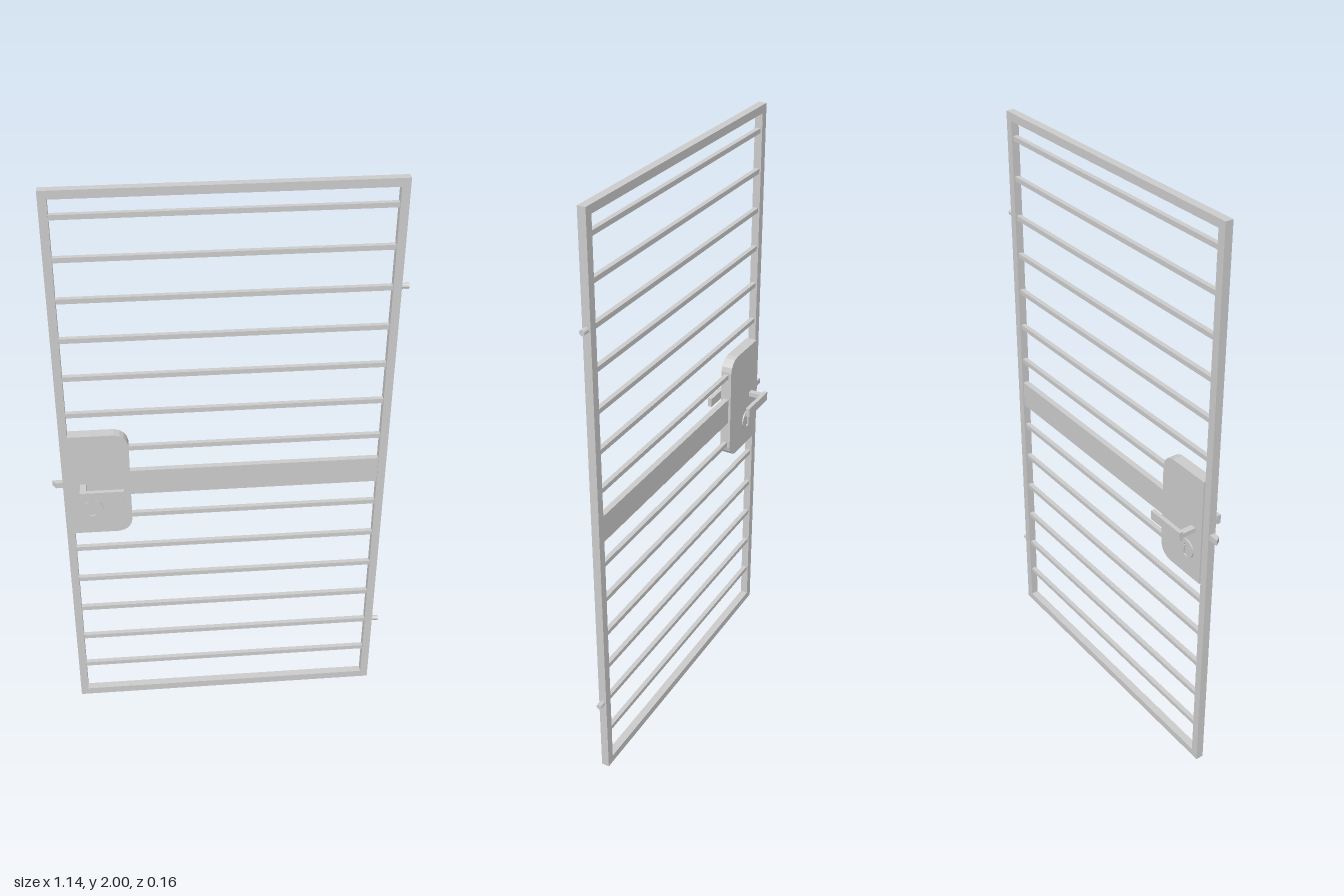
import * as THREE from 'three';

export function createModel() {
  const gate = new THREE.Group();
  gate.name = 'gate';
  const mat = new THREE.MeshStandardMaterial({ color: 0xcccccc, flatShading: true });

  const add = (name, geometry, x = 0, y = 0, z = 0) => {
    const mesh = new THREE.Mesh(geometry, mat);
    mesh.name = name;
    mesh.position.set(x, y, z);
    gate.add(mesh);
    return mesh;
  };
  // Box given by its x, y and z ranges
  const box = (name, x0, x1, y0, y1, z0, z1) =>
    add(name, new THREE.BoxGeometry(x1 - x0, y1 - y0, z1 - z0),
      (x0 + x1) / 2, (y0 + y1) / 2, (z0 + z1) / 2);

  // Rectangular outer frame, extruded with its opening
  const L = -0.535, R = 0.545, T = 0.027, D = 0.0135;
  const rect = (P, x0, y0, x1, y1) => {
    const p = new P();
    p.moveTo(x0, y0); p.lineTo(x1, y0); p.lineTo(x1, y1); p.lineTo(x0, y1);
    p.closePath();
    return p;
  };
  const frame = rect(THREE.Shape, L, 0, R, 2);
  frame.holes.push(rect(THREE.Path, L + T, T, R - T, 2 - T));
  add('frame', new THREE.ExtrudeGeometry(frame, { depth: 2 * D, bevelEnabled: false }), 0, 0, -D);

  // Evenly spaced horizontal bars, with a wide band in place of the seventh
  for (let i = 0; i < 14; i++) {
    const y = 0.147 + i * 0.136;
    if (i === 6) box('middleBand', L + T, R - T, 0.916, 1.01, -0.01, 0.01);
    else box('bar', L + T, R - T, y - 0.008, y + 0.008, -0.008, 0.008);
  }

  // Lock case with rounded corners on its inner side
  const x0 = L + T, x1 = -0.312, y0 = 0.77, y1 = 1.16, r = 0.045;
  const plate = new THREE.Shape();
  plate.moveTo(x0, y0);
  plate.lineTo(x1 - r, y0);
  plate.quadraticCurveTo(x1 - 0.006, y0 + 0.006, x1, y0 + r);
  plate.lineTo(x1, y1 - r);
  plate.quadraticCurveTo(x1 - 0.006, y1 - 0.006, x1 - r, y1);
  plate.lineTo(x0, y1);
  plate.closePath();
  add('lockCase', new THREE.ExtrudeGeometry(plate,
    { depth: 0.038, bevelEnabled: false, curveSegments: 4 }), 0, 0, -0.019);

  // Round keyhole cover with a keyhole cut through it
  const cover = new THREE.Shape().absarc(0, 0, 0.034, 0, Math.PI * 2);
  const keyhole = new THREE.Path();
  keyhole.moveTo(-0.01, -0.028);
  keyhole.lineTo(0.01, -0.028);
  keyhole.lineTo(0.007, 0.008);
  keyhole.absarc(0, 0.01, 0.009, 0, Math.PI, false);
  keyhole.lineTo(-0.007, 0.008);
  keyhole.closePath();
  cover.holes.push(keyhole);
  const coverGeo = new THREE.ExtrudeGeometry(cover,
    { depth: 0.006, bevelEnabled: false, curveSegments: 12 });

  // Handle and keyhole cover on both faces
  for (const s of [1, -1]) {
    add('keyholeCover', coverGeo, -0.441, 0.872, s > 0 ? 0.018 : -0.024);
    box('handleShaft', -0.479, -0.458, 0.956, 0.972, s * 0.044 - 0.026, s * 0.044 + 0.026);
    box('handleLever', -0.479, -0.335, 0.948, 0.98, s * 0.075 - 0.007, s * 0.075 + 0.007);
  }

  // Latch bolt with a slanted tip
  const bolt = new THREE.Shape([
    [-0.52, -0.009], [-0.52, 0.009], [-0.57, 0.009], [-0.558, -0.009],
  ].map(([x, y]) => new THREE.Vector2(x, y)));
  add('latchBolt', new THREE.ExtrudeGeometry(bolt, { depth: 0.02, bevelEnabled: false }),
    0, 0.955, 0).rotation.x = -Math.PI / 2;

  // Hinge pins
  for (const y of [0.283, 1.645]) {
    add('hingePin', new THREE.CylinderGeometry(0.009, 0.009, 0.04, 12), 0.549, y, 0)
      .rotation.z = Math.PI / 2;
  }
  return gate;
}
